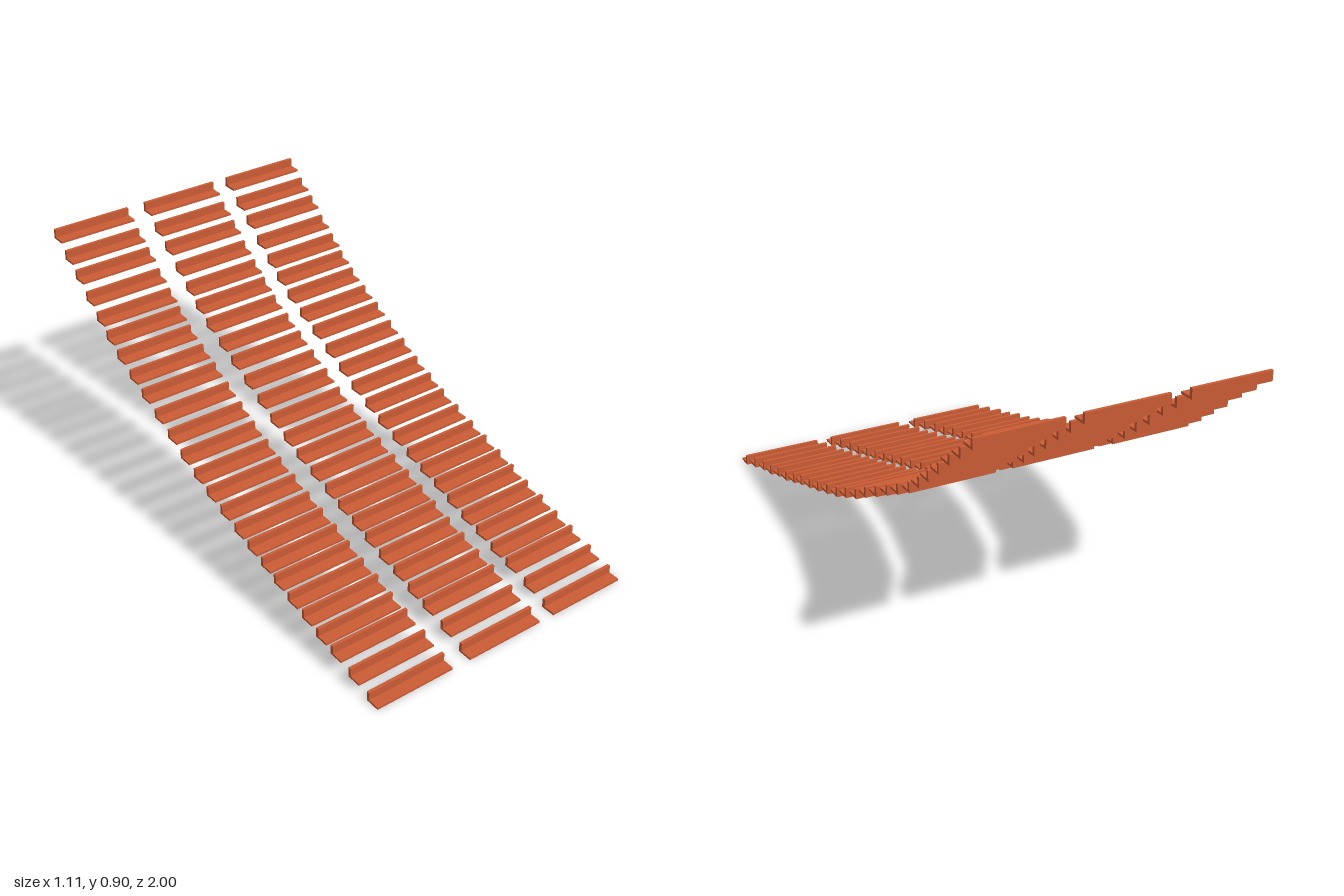
import * as THREE from 'three';

export function createModel() {
  const model = new THREE.Group();
  model.name = 'benchStand';
  const terracotta = new THREE.MeshStandardMaterial({ color: 0xcc5c35 });
  terracotta.name = 'terracotta';

  const width = 0.312, depth = 0.056, height = 0.038, seat = 0.008, back = 0.012;

  // L-shaped bench section: flat seat in front, upright board behind
  const profile = new THREE.Shape([
    [0, 0], [depth, 0], [depth, seat], [back, seat], [back, height], [0, height],
  ].map(([z, y]) => new THREE.Vector2(z, y)));
  const bench = new THREE.ExtrudeGeometry(profile, { depth: width, bevelEnabled: false });
  bench.translate(0, 0, -width / 2);
  bench.rotateY(-Math.PI / 2); // profile runs along +z, length along x

  // Rows from top to bottom: rear edge z, underside y
  const rows = [
    [-0.99, 0.862], [-0.916, 0.804], [-0.846, 0.752], [-0.776, 0.692], [-0.706, 0.638],
    [-0.642, 0.588], [-0.572, 0.540], [-0.488, 0.497], [-0.407, 0.457], [-0.322, 0.414],
    [-0.236, 0.373], [-0.155, 0.331], [-0.070, 0.297], [0.010, 0.265], [0.096, 0.238],
    [0.182, 0.211], [0.262, 0.188], [0.342, 0.166], [0.417, 0.141], [0.497, 0.116],
    [0.578, 0.098], [0.658, 0.073], [0.738, 0.056], [0.834, 0.029], [0.932, 0],
  ];
  const columns = { rightBlock: -0.384, middleBlock: 0.003, leftBlock: 0.379 };

  // Three blocks of rising benches
  for (const [name, x] of Object.entries(columns)) {
    const block = new THREE.Group();
    block.name = name;
    rows.forEach(([z, y], i) => {
      const mesh = new THREE.Mesh(bench, terracotta);
      mesh.name = `bench${i + 1}`;
      mesh.position.set(x, y, z);
      block.add(mesh);
    });
    model.add(block);
  }

  // The whole stand sits slightly turned
  model.rotation.y = -0.019;
  return model;
}
